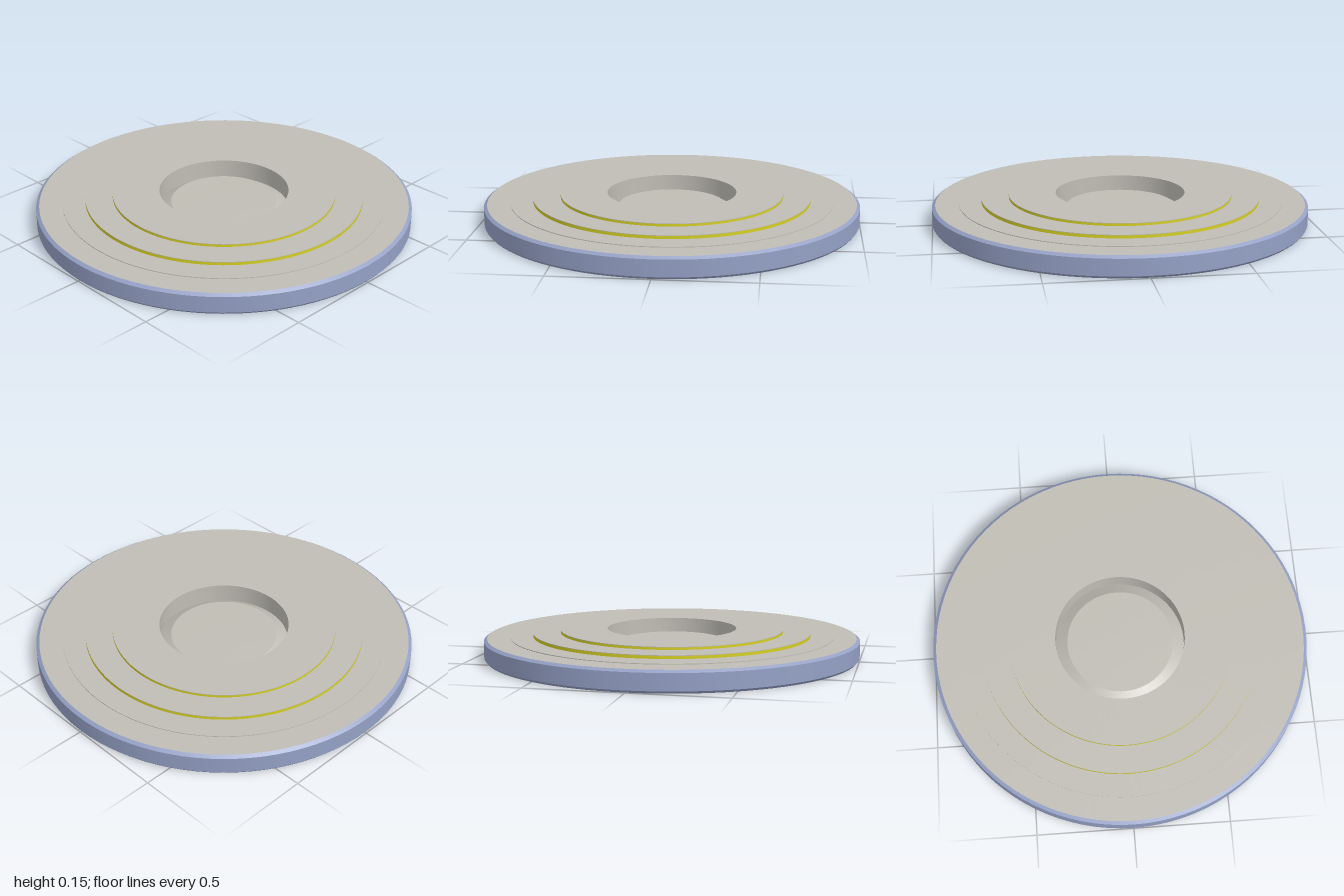
import * as THREE from 'three';
import { toCreasedNormals } from 'three/addons/utils/BufferGeometryUtils.js';

const SEGMENTS = 96;

export function createModel() {
  const model = new THREE.Group();
  model.name = 'roundDisc';

  const material = (name, color, side = THREE.FrontSide) => {
    const m = new THREE.MeshStandardMaterial({ color, side });
    m.name = name;
    return m;
  };
  const blue = material('steelBlue', 0x94a0c5, THREE.DoubleSide);
  const grey = material('warmGrey', 0xc0bdb5, THREE.DoubleSide);
  const yellow = material('yellow', 0xd6d020, THREE.DoubleSide);

  // Spins a [radius, height] profile about y, keeping edges sharp
  const spin = (name, mat, profile) => {
    const points = profile.map(([r, y]) => new THREE.Vector2(r, y));
    const geometry = toCreasedNormals(new THREE.LatheGeometry(points, SEGMENTS), 0.3);
    const mesh = new THREE.Mesh(geometry, mat);
    mesh.name = name;
    model.add(mesh);
  };

  // Base: flat underside ring, wall and chamfered rim
  spin('baseRim', blue, [[0.69, 0], [0.99, 0], [1, 0.012], [1, 0.098], [0.983, 0.11]]);

  // Main top face with a very shallow raised plate
  spin('topFace', grey, [[0.983, 0.11], [0.86, 0.11], [0.86, 0.114], [0.74, 0.114]]);

  // Two stepped tiers: yellow edge band under a grey face
  const tiers = [
    { name: 'lowerTier', outer: 0.74, inner: 0.595, bottom: 0.114, top: 0.132 },
    { name: 'upperTier', outer: 0.595, inner: 0.345, bottom: 0.132, top: 0.147 },
  ];
  for (const { name, outer, inner, bottom, top } of tiers) {
    spin(name + 'Band', yellow, [[outer, bottom], [outer, top - 0.003]]);
    spin(name + 'Face', grey, [[outer, top - 0.003], [outer, top], [inner, top]]);
  }

  // Wall of the central opening
  spin('openingWall', grey, [[0.345, 0.147], [0.345, 0.044]]);

  // Thin underside cone that rises into the sunken central cap
  spin('undersideCone', grey, [[0.377, 0.025], [0.69, 0]]);
  spin('centreCap', grey, [[0.377, 0.025], [0.283, 0.08], [0.15, 0.082], [0, 0.083]]);

  return model;
}
